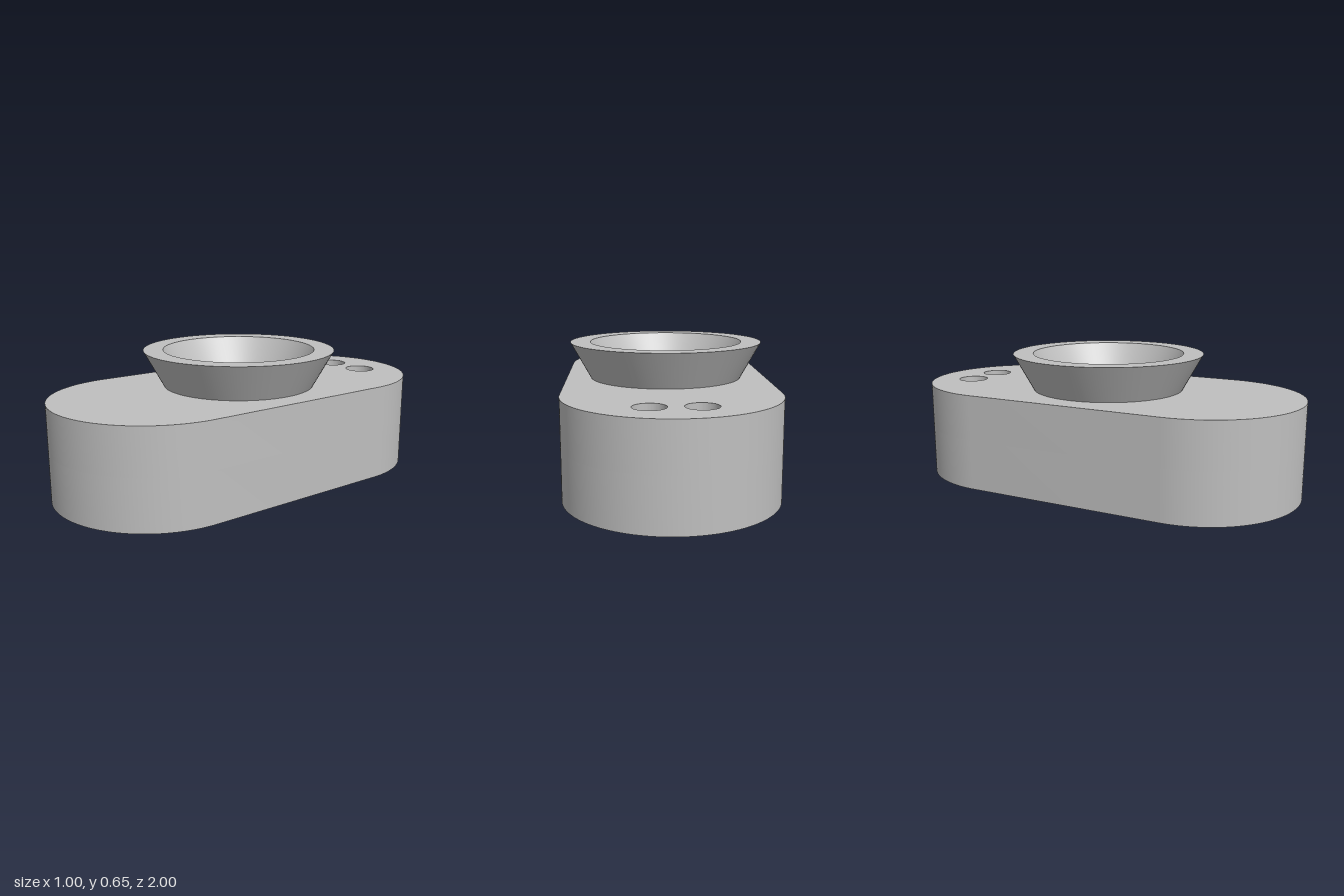
import * as THREE from 'three';
import { toCreasedNormals } from 'three/addons/utils/BufferGeometryUtils.js';

// Traces a slot outline: two half circles of radius r, centred d either side of the middle
function traceSlot(path, r, d) {
  path.moveTo(r, -d);
  path.lineTo(r, d);
  path.absarc(0, d, r, 0, Math.PI, false);
  path.lineTo(-r, -d);
  path.absarc(0, -d, r, Math.PI, Math.PI * 2, false);
  return path;
}

function circle(x, y, r) {
  return new THREE.Path().absarc(x, y, r, 0, Math.PI * 2, false);
}

export function createModel() {
  const group = new THREE.Group();
  group.name = 'slottedMount';
  const grey = new THREE.MeshStandardMaterial({ color: 0xbfbfbf });
  grey.name = 'grey';

  const floorY = 0.25, deckY = 0.475, rimY = 0.655;

  function add(name, geometry) {
    const mesh = new THREE.Mesh(toCreasedNormals(geometry, 0.5), grey);
    mesh.name = name;
    group.add(mesh);
  }

  // Horizontal slab between two heights, with holes cut through it
  function addSlab(name, holes, y0, y1) {
    const shape = traceSlot(new THREE.Shape(), 0.5, 0.5);
    shape.holes.push(...holes);
    const geometry = new THREE.ExtrudeGeometry(shape, {
      depth: y1 - y0, bevelEnabled: false, curveSegments: 40,
    });
    geometry.rotateX(-Math.PI / 2).translate(0, y0, 0);
    add(name, geometry);
  }

  // Lower half of the body with the long pocket underneath
  addSlab('lowerBody', [traceSlot(new THREE.Path(), 0.275, 0.25)], 0, floorY);

  // Upper half with the central bore and two blind holes at the back
  addSlab('upperBody', [
    circle(0, 0, 0.185),
    ...[-0.11, 0.11].map((x) => circle(x, 0.77, 0.075)),
  ], floorY, deckY);

  // Flared collar around the bore
  const profile = [[0.38, deckY], [0.48, rimY], [0.38, rimY], [0.28, deckY]]
    .map(([x, y]) => new THREE.Vector2(x, y));
  add('flaredCollar', new THREE.LatheGeometry(profile, 80));

  return group;
}
